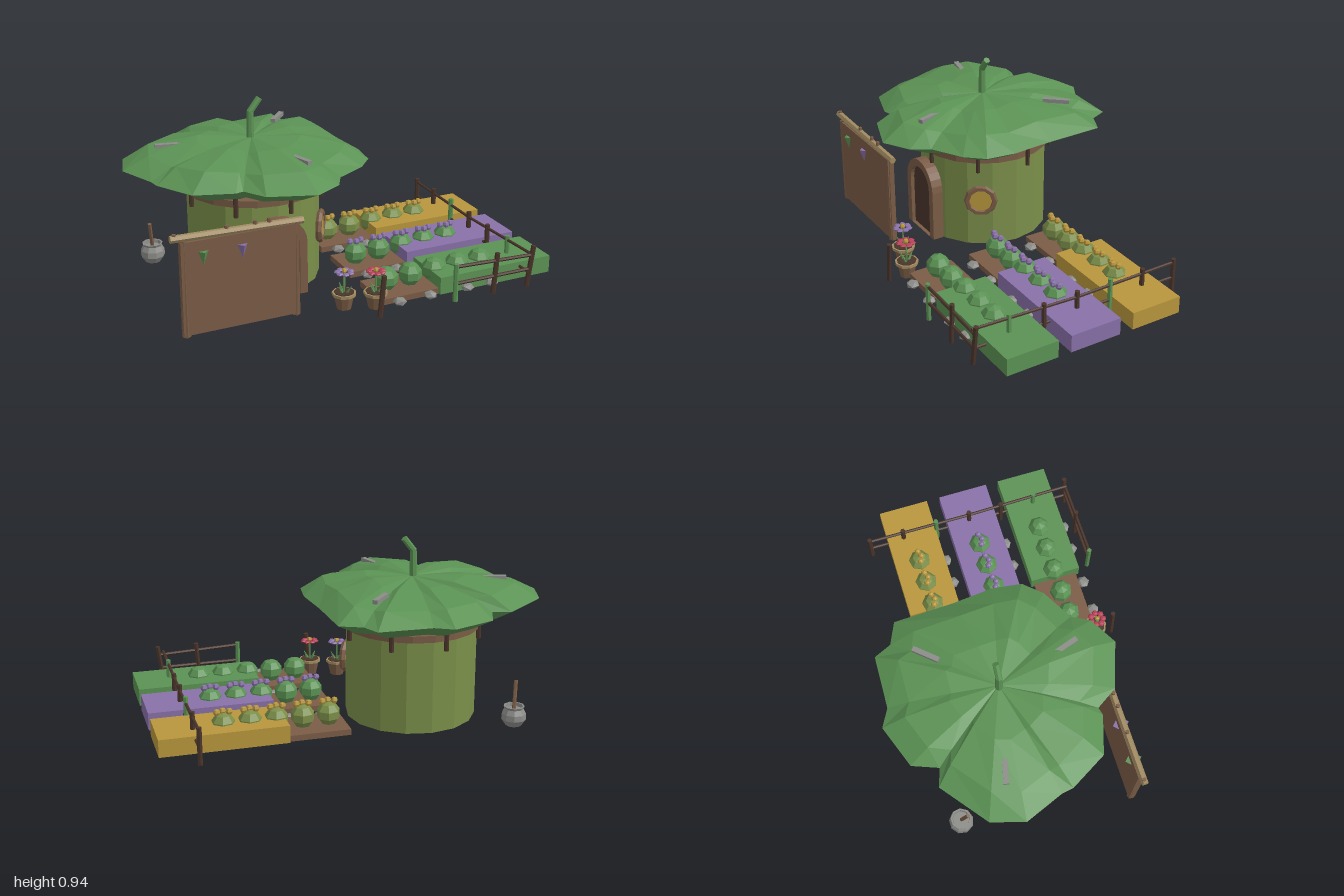
import * as THREE from 'three';

const mat = (name, color) => Object.assign(new THREE.MeshStandardMaterial({ color, flatShading: true }), { name });
const M = {
  leaf: mat('leaf green', 0x5b9254), olive: mat('olive green', 0x7b8f4a),
  brown: mat('wood brown', 0x7a5c46), dark: mat('dark wood', 0x4a352b),
  gold: mat('gold', 0xb8963c), purple: mat('purple', 0x8870a8),
  grey: mat('stone grey', 0x8b8b88), red: mat('flower red', 0xb84058), tan: mat('tan wood', 0xa08a60),
};

function add(parent, name, geo, material, x = 0, y = 0, z = 0) {
  const m = new THREE.Mesh(geo, material);
  m.name = name;
  m.position.set(x, y, z);
  parent.add(m);
  return m;
}
const box = (w, h, d) => new THREE.BoxGeometry(w, h, d);
const cyl = (a, b, h, n = 6) => new THREE.CylinderGeometry(a, b, h, n);

// Straight stick between two points
function stick(parent, name, a, b, r, material, sides = 6, rEnd = r) {
  const p = new THREE.Vector3(...a), q = new THREE.Vector3(...b);
  const d = q.clone().sub(p);
  const m = add(parent, name, cyl(rEnd, r, d.length(), sides), material);
  m.position.copy(p).add(q).multiplyScalar(0.5);
  m.quaternion.setFromUnitVectors(new THREE.Vector3(0, 1, 0), d.normalize());
  return m;
}

const CX = -0.35, CZ = -0.1;

// Lobed leaf canopy: rings scaled from one outline, domed on top, cupped below
function roofGeometry() {
  const outline = [
    [-0.36, -0.69], [-0.27, -0.64], [0, -0.63], [0.04, -0.54], [0.15, -0.49], [0.16, -0.19],
    [0.18, 0.03], [0.16, 0.18], [0.08, 0.27], [-0.08, 0.36], [-0.13, 0.45], [-0.27, 0.53],
    [-0.5, 0.45], [-0.57, 0.34], [-0.61, 0.35], [-0.8, 0.29], [-0.91, 0.1], [-0.92, 0.04],
    [-1, -0.16], [-0.95, -0.33], [-0.72, -0.51], [-0.63, -0.48], [-0.58, -0.61],
  ];
  const valleys = [1, 3, 9, 13, 17, 21];
  const rings = [[0.001, 0.735], [0.42, 0.735], [0.8, 0.695], [1, 0.63], [0.76, 0.555], [0.4, 0.545], [0.001, 0.56]];
  const n = outline.length, pos = [], idx = [];
  rings.forEach(([f, y], k) => outline.forEach(([x, z], i) => {
    const fold = k === 1 || k === 2 ? (valleys.includes(i) ? -0.016 : (i % 2) * 0.012) : 0;
    pos.push(CX + (x - CX) * f, y + fold, CZ + (z - CZ) * f);
  }));
  for (let k = 0; k < rings.length - 1; k++) {
    for (let i = 0; i < n; i++) {
      const a = k * n + i, b = k * n + (i + 1) % n;
      idx.push(a, b, a + n, b, b + n, a + n);
    }
  }
  const g = new THREE.BufferGeometry();
  g.setAttribute('position', new THREE.Float32BufferAttribute(pos, 3));
  g.setIndex(idx);
  g.computeVertexNormals();
  return g;
}

function archShape(w, h) {
  const s = new THREE.Shape();
  s.moveTo(-w, 0);
  s.lineTo(w, 0);
  s.lineTo(w, h - w);
  s.absarc(0, h - w, w, 0, Math.PI, false);
  s.lineTo(-w, 0);
  return s;
}

function buildHouse(root) {
  const g = new THREE.Group();
  g.name = 'house';
  root.add(g);
  add(g, 'wall', cyl(0.335, 0.335, 0.5, 16), M.olive, CX, 0.26, CZ);
  add(g, 'wallRim', cyl(0.352, 0.352, 0.035, 20), M.brown, CX, 0.507, CZ);
  for (let i = 0; i < 8; i++) {
    const a = (35 + 45 * i) * Math.PI / 180;
    add(g, 'roofPeg', cyl(0.012, 0.012, 0.14), M.dark, CX + 0.352 * Math.cos(a), 0.51, CZ + 0.352 * Math.sin(a));
  }
  add(g, 'leafRoof', roofGeometry(), M.leaf);
  stick(g, 'stem', [-0.36, 0.5, CZ], [-0.355, 0.87, CZ], 0.026, M.leaf, 7, 0.017);
  stick(g, 'stemTip', [-0.358, 0.862, CZ], [-0.305, 0.93, CZ], 0.017, M.leaf, 7);
  // Pale slivers lying on the roof
  [[-0.09, -0.39, 0.85], [-0.75, -0.19, -0.22], [-0.25, 0.27, -1.25]].forEach(([x, z, turn]) => {
    add(g, 'roofSliver', box(0.14, 0.02, 0.026), M.grey, x, 0.717, z).rotation.y = turn;
  });
  // Round window
  const w = new THREE.Group();
  w.name = 'window';
  w.position.set(-0.06, 0.275, 0.088);
  w.rotation.y = Math.PI / 2 - 0.575;
  g.add(w);
  add(w, 'windowFrame', new THREE.TorusGeometry(0.071, 0.017, 6, 10), M.brown);
  add(w, 'windowPane', cyl(0.066, 0.066, 0.016, 10), M.gold).rotation.x = Math.PI / 2;
  // Arched doorway
  const frame = archShape(0.14, 0.41);
  frame.holes.push(archShape(0.1, 0.37));
  const ex = d => ({ depth: d, bevelEnabled: false, curveSegments: 6 });
  add(g, 'doorFrame', new THREE.ExtrudeGeometry(frame, ex(0.06)), M.brown, -0.36, 0.02, 0.225);
  add(g, 'door', new THREE.ExtrudeGeometry(archShape(0.1, 0.37), ex(0.04)), M.dark, -0.36, 0.02, 0.225);
}

function buildScreen(root) {
  const g = new THREE.Group();
  g.name = 'woodScreen';
  root.add(g);
  add(g, 'screenPanel', box(0.58, 0.465, 0.035), M.brown, -0.637, 0.252, 0.455);
  stick(g, 'screenRail', [-0.97, 0.505, 0.455], [-0.32, 0.49, 0.455], 0.018, M.tan);
  for (const x of [-0.91, -0.36]) add(g, 'screenPost', cyl(0.018, 0.022, 0.48), M.brown, x, 0.25, 0.455);
  for (const x of [-0.95, -0.7, -0.56, -0.49]) add(g, 'railKnob', cyl(0.01, 0.012, 0.035), M.brown, x, 0.51, 0.455);
  // Hanging pennants
  [[-0.82, M.leaf], [-0.63, M.purple]].forEach(([x, m]) => {
    add(g, 'pennant', new THREE.ConeGeometry(0.042, 0.12, 4), m, x, 0.37, 0.455).rotation.x = Math.PI;
  });
}

function buildGarden(root) {
  const rows = [[-0.243, M.gold, M.olive, true], [0.105, M.purple, M.leaf, true], [0.45, M.leaf, M.leaf, false]];
  rows.forEach(([z, bed, bush, flowers]) => {
    const g = new THREE.Group();
    g.name = 'gardenRow';
    root.add(g);
    add(g, 'soil', box(0.73, 0.03, 0.24), M.brown, 0.41, 0.033, z);
    add(g, 'gardenBlock', box(0.64, 0.09, 0.275), bed, 0.68, 0.065, z);
    for (let i = 0; i < 5; i++) {
      const x = 0.13 + i * 0.133;
      add(g, 'bush', new THREE.SphereGeometry(0.062, 7, 5), bush, x, 0.097, z);
      if (!flowers) continue;
      for (let k = -1; k <= 1; k++) {
        add(g, 'blossom', new THREE.SphereGeometry(0.018, 6, 4), bed, x + k * 0.031, 0.163, z + (k ? 0 : 0.012));
      }
    }
    [0.13, 0.3, 0.51, 0.65].forEach((x, i) => {
      const s = add(g, 'stone', new THREE.IcosahedronGeometry(0.035, 0), M.grey, x, 0.035, z + 0.145);
      s.scale.y = 0.6;
      s.rotation.y = i;
    });
  });
}

function buildFence(root) {
  const g = new THREE.Group();
  g.name = 'fence';
  root.add(g);
  const post = (x, z, h, m, lean = 0) => stick(g, 'fencePost', [x - lean, 0.005, z], [x + lean, h, z], 0.013, m);
  [-0.48, -0.29, -0.1, 0.09, 0.275, 0.465].forEach((z, i) =>
    post(0.82, z, [0.195, 0.2, 0.205, 0.2, 0.195, 0.205][i], i === 2 || i === 5 ? M.leaf : M.dark));
  post(0.835, 0.655, 0.22, M.dark, 0.015);
  post(0.63, 0.655, 0.22, M.dark, 0.008);
  post(0.405, 0.655, 0.205, M.leaf);
  post(0, 0.655, 0.22, M.dark, 0.01);
  // Rails, side then front
  stick(g, 'fenceRail', [0.82, 0.19, 0.66], [0.82, 0.168, 0.09], 0.008, M.dark);
  stick(g, 'fenceRail', [0.82, 0.168, 0.09], [0.82, 0.175, -0.48], 0.008, M.dark);
  stick(g, 'fenceRail', [0.82, 0.085, 0.66], [0.82, 0.09, -0.48], 0.008, M.dark);
  stick(g, 'fenceRail', [0.4, 0.19, 0.655], [0.84, 0.172, 0.655], 0.009, M.dark);
  stick(g, 'fenceRail', [0.4, 0.1, 0.655], [0.84, 0.098, 0.655], 0.009, M.dark);
}

function buildPots(root) {
  [[-0.13, 0.51, M.purple], [0.012, 0.565, M.red]].forEach(([x, z, petal]) => {
    const g = new THREE.Group();
    g.name = 'flowerPot';
    g.position.set(x, 0, z);
    root.add(g);
    add(g, 'pot', cyl(0.052, 0.036, 0.075, 9), M.brown, 0, 0.055, 0);
    add(g, 'potRim', cyl(0.06, 0.06, 0.014, 9), M.tan, 0, 0.094, 0);
    add(g, 'potSoil', cyl(0.05, 0.05, 0.006, 9), M.dark, 0, 0.101, 0);
    stick(g, 'flowerStem', [0, 0.09, 0], [0, 0.205, 0], 0.005, M.leaf);
    for (let i = 0; i < 7; i++) {
      const a = i / 7 * Math.PI * 2, c = Math.cos(a), s = Math.sin(a);
      add(g, 'petal', new THREE.SphereGeometry(0.018, 6, 4), petal, c * 0.033, 0.206, s * 0.033).scale.y = 0.45;
      if (i % 2) stick(g, 'flowerLeaf', [c * 0.012, 0.095, s * 0.012], [c * 0.04, 0.14, s * 0.04], 0.01, M.leaf, 4, 0.001);
    }
    add(g, 'flowerCentre', new THREE.SphereGeometry(0.014, 6, 4), M.gold, 0, 0.213, 0);
  });
  // Stone cauldron with a stirring stick behind the house
  const g = new THREE.Group();
  g.name = 'cauldron';
  g.position.set(-0.79, 0, -0.435);
  root.add(g);
  const profile = [[0.001, 0.005], [0.04, 0.005], [0.064, 0.04], [0.062, 0.07], [0.048, 0.095], [0.054, 0.108], [0.045, 0.108], [0.042, 0.09], [0.001, 0.09]];
  add(g, 'cauldronBowl', new THREE.LatheGeometry(profile.map(p => new THREE.Vector2(...p)), 9), M.grey);
  stick(g, 'stirringStick', [0, 0.08, 0], [-0.02, 0.23, 0.035], 0.01, M.brown);
}

export function createModel() {
  const root = new THREE.Group();
  root.name = 'gardenCottage';
  buildHouse(root);
  buildScreen(root);
  buildGarden(root);
  buildFence(root);
  buildPots(root);
  return root;
}
